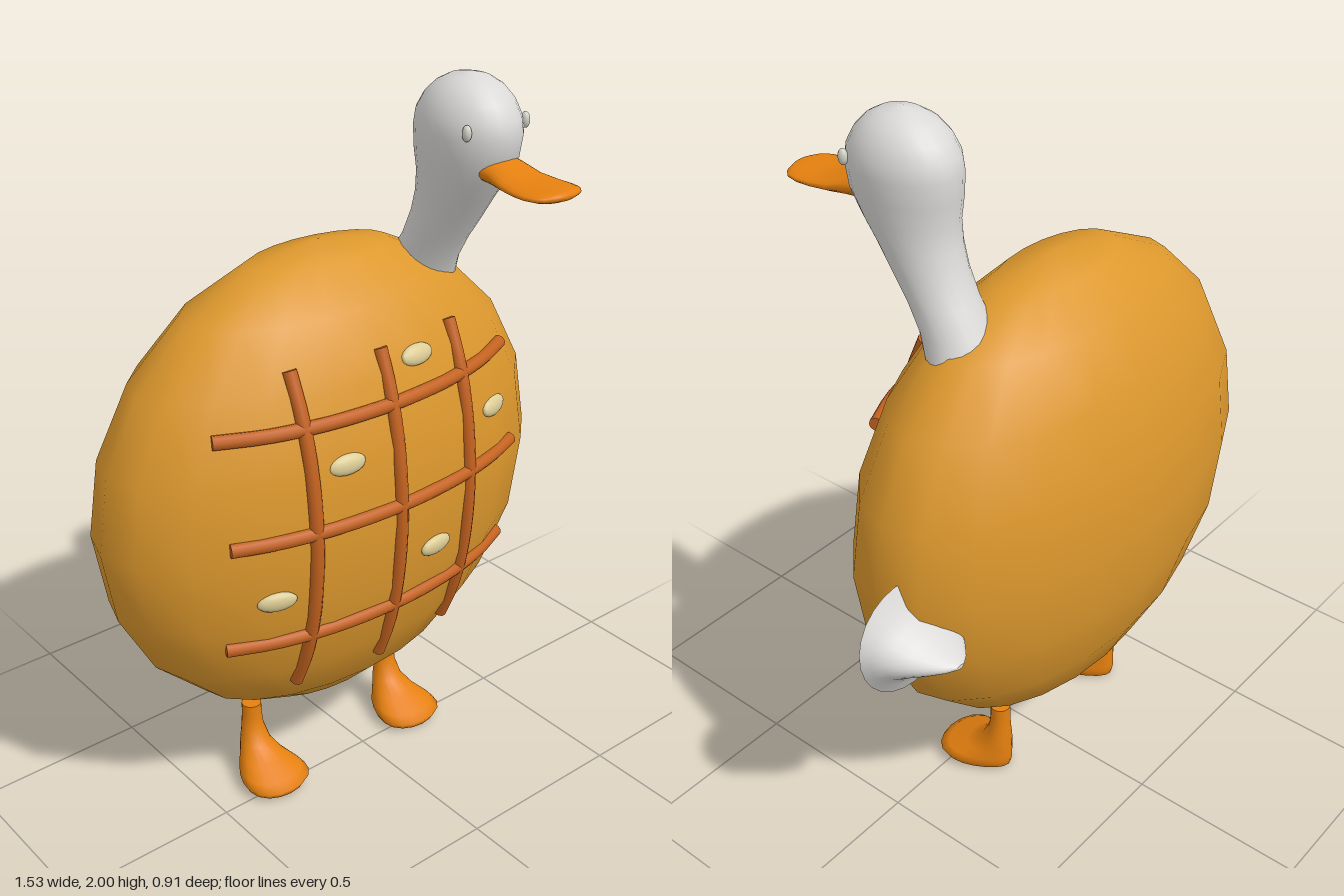
import * as THREE from 'three';

const mat = (name, color) => {
  const m = new THREE.MeshStandardMaterial({ color });
  m.name = name;
  return m;
};

// Closed loft through elliptical rings [s, x, c, rx, rc, wedge] along the y or z axis
function loft(rings, axis, n = 20) {
  const pos = [], idx = [];
  const put = (s, a, b) => (axis === 'y' ? pos.push(a, s, -b) : pos.push(a, b, s));
  const ringAt = ([s, x, c, rx, rc, wedge = 0]) => {
    const start = pos.length / 3;
    for (let j = 0; j < n; j++) {
      const t = (j / n) * Math.PI * 2;
      const w = (1 - wedge * Math.sin(t)) / (1 + wedge * wedge * 0.5);
      put(s, x + rx * Math.cos(t) * w, (axis === 'y' ? -c : c) + rc * Math.sin(t));
    }
    return start;
  };
  const starts = rings.map(ringAt);
  for (let i = 0; i < rings.length - 1; i++) {
    for (let j = 0; j < n; j++) {
      const k = (j + 1) % n;
      const a = starts[i] + j, b = starts[i] + k, c = starts[i + 1] + j, d = starts[i + 1] + k;
      idx.push(a, b, c, b, d, c);
    }
  }
  // separate cap vertices keep the rims crisp
  [rings[0], rings[rings.length - 1]].forEach((r, end) => {
    const s = ringAt(r), mid = pos.length / 3;
    put(r[0], r[1], axis === 'y' ? -r[2] : r[2]);
    for (let j = 0; j < n; j++) {
      const k = (j + 1) % n;
      if (end) idx.push(mid, s + j, s + k);
      else idx.push(mid, s + k, s + j);
    }
  });
  const g = new THREE.BufferGeometry();
  g.setAttribute('position', new THREE.Float32BufferAttribute(pos, 3));
  g.setIndex(idx);
  g.computeVertexNormals();
  return g;
}

// Body ellipsoid and a lookup for points on its front
const C = new THREE.Vector3(-0.06, 0.9, -0.107);
const R = new THREE.Vector3(0.705, 0.68, 0.346);
const onBody = (x, y) => {
  const q = 1 - ((x - C.x) / R.x) ** 2 - ((y - C.y) / R.y) ** 2;
  return new THREE.Vector3(x, y, C.z + R.z * Math.sqrt(Math.max(q, 0)) - 0.005);
};

export function createModel() {
  const model = new THREE.Group();
  const golden = mat('golden crust', 0xdd982d);
  const brown = mat('lattice brown', 0xc4621f);
  const cream = mat('seed cream', 0xddcd96);
  const white = mat('feather white', 0xdad9d7);
  const orange = mat('bill orange', 0xe5800f);
  const pale = mat('eye pale', 0xd2d2c8);

  const add = (name, geo, material, parent = model) => {
    const m = new THREE.Mesh(geo, material);
    m.name = name;
    parent.add(m);
    return m;
  };

  // Body
  const body = add('body', new THREE.SphereGeometry(1, 20, 10), golden);
  body.scale.copy(R);
  body.position.copy(C);

  // Lattice bars that hug the front of the body
  const lattice = new THREE.Group();
  lattice.name = 'lattice';
  model.add(lattice);
  const bar = (name, x0, y0, x1, y1) => {
    const pts = [];
    for (let i = 0; i <= 8; i++) {
      pts.push(onBody(x0 + ((x1 - x0) * i) / 8, y0 + ((y1 - y0) * i) / 8));
    }
    const curve = new THREE.CatmullRomCurve3(pts);
    add(name, new THREE.TubeGeometry(curve, 20, 0.019, 10), brown, lattice);
    for (const t of [0, 1]) {
      const cap = add(name + 'End', new THREE.CircleGeometry(0.019, 10), brown, lattice);
      const p = curve.getPoint(t), d = curve.getTangent(t).multiplyScalar(t ? 1 : -1);
      cap.position.copy(p);
      cap.quaternion.setFromUnitVectors(new THREE.Vector3(0, 0, 1), d);
    }
  };
  for (const x of [-0.322, -0.062, 0.2]) bar('uprightBar', x, 0.44, x, 1.36);
  for (const y of [0.627, 0.945, 1.222]) bar('crossBar', -0.54, y, 0.418, y);

  // Seeds lying flat on the surface
  for (const [x, y] of [[0.05, 1.315], [-0.222, 1.108], [0.327, 1.085], [-0.427, 0.767], [0.073, 0.767]]) {
    const seed = add('seed', new THREE.SphereGeometry(1, 14, 10), cream);
    seed.scale.set(0.055, 0.028, 0.017);
    seed.position.copy(onBody(x, y));
    const normal = seed.position.clone().sub(C).divide(R).divide(R).normalize();
    seed.quaternion.setFromUnitVectors(new THREE.Vector3(0, 0, 1), normal);
  }

  // Neck and head: [y, x, z, half width, half depth]
  add('neckAndHead', loft([
    [1.34, 0.275, -0.11, 0.105, 0.09],
    [1.42, 0.268, -0.08, 0.1, 0.09],
    [1.48, 0.262, -0.055, 0.092, 0.092],
    [1.55, 0.26, -0.01, 0.088, 0.09],
    [1.62, 0.26, 0.03, 0.09, 0.1],
    [1.68, 0.258, 0.06, 0.096, 0.111],
    [1.74, 0.256, 0.086, 0.106, 0.129],
    [1.8, 0.255, 0.1, 0.117, 0.15],
    [1.86, 0.255, 0.104, 0.122, 0.156],
    [1.9, 0.255, 0.104, 0.118, 0.149],
    [1.94, 0.255, 0.105, 0.102, 0.126],
    [1.97, 0.255, 0.106, 0.078, 0.095],
    [1.99, 0.255, 0.107, 0.047, 0.058],
    [2.0, 0.255, 0.108, 0.008, 0.01],
  ], 'y', 24), white);

  // Eyes on both sides of the head
  for (const s of [-1, 1]) {
    const eye = add(s > 0 ? 'leftEye' : 'rightEye', new THREE.SphereGeometry(1, 12, 8), pale);
    eye.scale.set(0.012, 0.021, 0.013);
    eye.position.set(0.256 + s * 0.099, 1.882, 0.204);
  }

  // Bill: [z, x, y, half width, half height]
  add('bill', loft([
    [0.2, 0.255, 1.782, 0.06, 0.038],
    [0.25, 0.255, 1.776, 0.066, 0.032],
    [0.3, 0.255, 1.766, 0.075, 0.022],
    [0.35, 0.255, 1.763, 0.083, 0.018],
    [0.39, 0.255, 1.763, 0.086, 0.016],
    [0.42, 0.255, 1.764, 0.08, 0.015],
    [0.44, 0.255, 1.765, 0.063, 0.013],
    [0.452, 0.255, 1.766, 0.035, 0.009],
    [0.455, 0.255, 1.766, 0.008, 0.003],
  ], 'z'), orange);

  // Legs with webbed feet, wider toward the toes: [y, half width, back z, front z, wedge]
  const legRings = [
    [0, 0.068, -0.145, 0.035, 0.35],
    [0.008, 0.088, -0.154, 0.058, 0.35],
    [0.028, 0.1, -0.157, 0.068, 0.35],
    [0.045, 0.088, -0.157, 0.042, 0.3],
    [0.068, 0.063, -0.156, -0.02, 0.2],
    [0.1, 0.045, -0.155, -0.068, 0],
    [0.15, 0.033, -0.153, -0.092, 0],
    [0.19, 0.029, -0.152, -0.096, 0],
    [0.226, 0.028, -0.152, -0.096, 0],
  ];
  for (const [name, x] of [['rightLeg', -0.314], ['leftLeg', 0.188]]) {
    add(name, loft(legRings.map(([y, rx, b, f, w]) => [y, x, (b + f) / 2, rx, (f - b) / 2, w]), 'y'), orange);
  }

  // Tail tuft, flat in front and drawn to a ridge behind
  const tail = loft([
    [-0.341, 0.6, 0.79, 0.012, 0.006],
    [-0.325, 0.6, 0.79, 0.04, 0.014],
    [-0.29, 0.6, 0.79, 0.076, 0.032],
    [-0.25, 0.6, 0.79, 0.108, 0.053],
    [-0.215, 0.6, 0.79, 0.13, 0.08],
    [-0.185, 0.6, 0.79, 0.146, 0.12],
    [-0.16, 0.6, 0.79, 0.16, 0.172],
  ], 'z', 24);
  const p = tail.attributes.position;
  for (let i = 0; i < p.count; i++) p.setX(i, p.getX(i) + (p.getY(i) - 0.79) * 0.16);
  tail.computeVertexNormals();
  add('tail', tail, white);

  return model;
}
